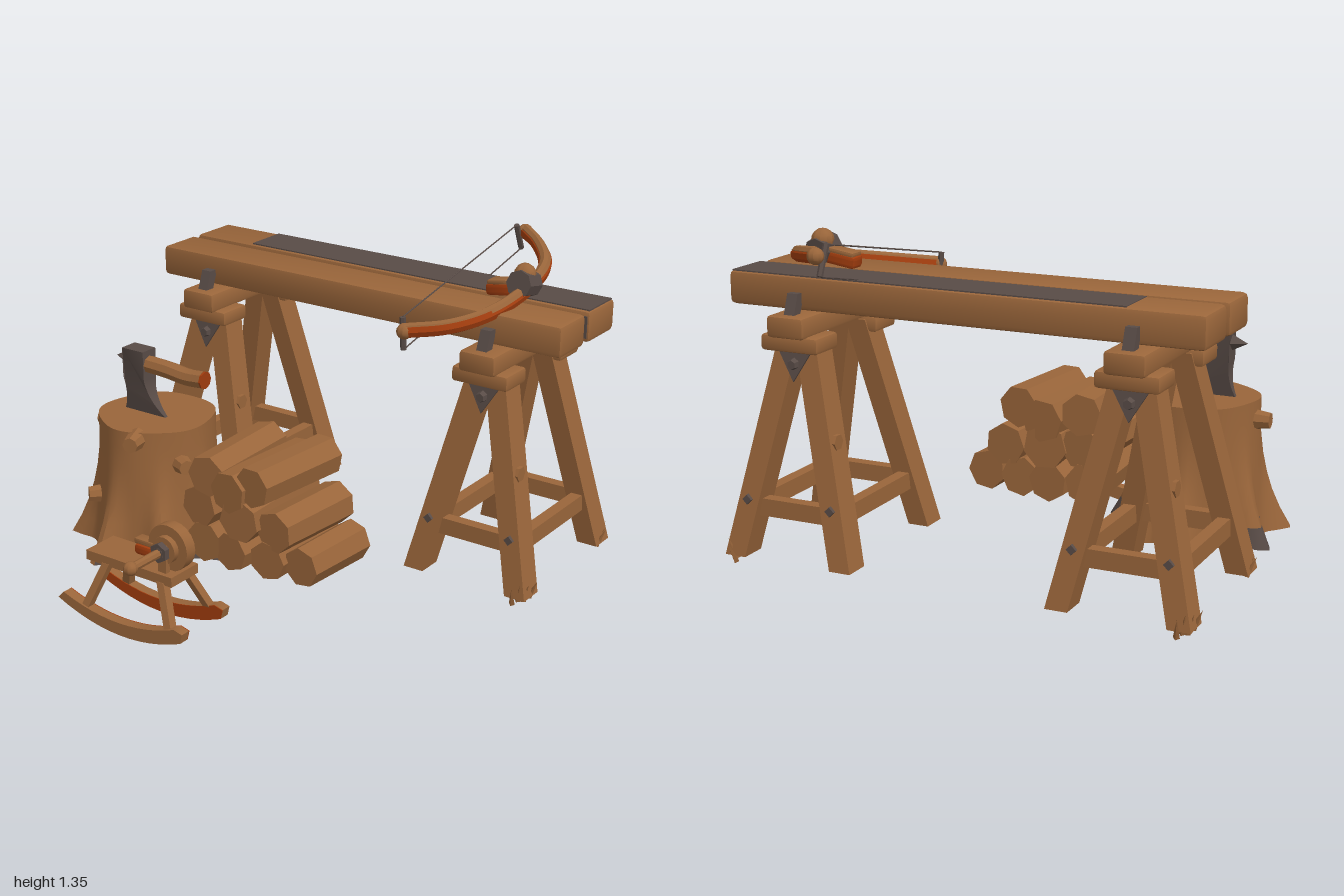
import * as THREE from 'three';
import { toCreasedNormals } from 'three/addons/utils/BufferGeometryUtils.js';
import { RoundedBoxGeometry } from 'three/addons/geometries/RoundedBoxGeometry.js';

const material = (name, color) => Object.assign(new THREE.MeshStandardMaterial({ color }), { name });
const V = (x, y, z) => new THREE.Vector3(x, y, z);

export function createModel() {
  const wood = material('wood', 0x99653a);
  const iron = material('iron', 0x584b46);
  const rust = material('rust', 0xa03c0e);

  const add = (parent, name, geo, mat, pos = [0, 0, 0], rot = [0, 0, 0]) => {
    geo.clearGroups();
    const mesh = new THREE.Mesh(toCreasedNormals(geo, 0.6), mat);
    mesh.name = name;
    mesh.position.set(...pos);
    mesh.rotation.set(...rot);
    parent.add(mesh);
    return mesh;
  };
  const group = (parent, name) => {
    const g = new THREE.Group();
    g.name = name;
    parent.add(g);
    return g;
  };
  const box = (w, h, d) => new THREE.BoxGeometry(w, h, d);
  const soft = (w, h, d, r = 0.015) => new RoundedBoxGeometry(w, h, d, 1, r);
  const rod = (r, h, n = 8, r2 = r) => new THREE.CylinderGeometry(r2, r, h, n);
  const ball = (r) => new THREE.SphereGeometry(r, 10, 8);
  // Leaning post whose ends stay level
  const leaning = (a, b, w, d) => {
    const h = b.y - a.y, geo = box(w, h, d), p = geo.attributes.position;
    for (let i = 0; i < p.count; i++) {
      const t = p.getY(i) / h + 0.5;
      p.setXYZ(i, p.getX(i) + a.x + (b.x - a.x) * t, a.y + h * t, p.getZ(i) + a.z + (b.z - a.z) * t);
    }
    return geo;
  };
  // Straight round bar between two points
  const bar = (parent, name, a, b, r, mat) => {
    const m = add(parent, name, rod(r, a.distanceTo(b), 6), mat);
    m.position.copy(a).lerp(b, 0.5);
    m.quaternion.setFromUnitVectors(V(0, 1, 0), b.clone().sub(a).normalize());
  };

  const root = new THREE.Group();
  root.name = 'woodworkingYard';

  // Two long beams, the rear one with a dark top
  const beams = group(root, 'beams');
  add(beams, 'frontBeam', soft(1.94, 0.13, 0.205, 0.02), wood, [0.02, 1.115, -0.39]);
  add(beams, 'rearBeam', soft(1.94, 0.13, 0.22, 0.02), wood, [0.02, 1.115, -0.63]);
  add(beams, 'darkTop', box(1.63, 0.006, 0.19), iron, [0.165, 1.18, -0.63]);
  add(beams, 'darkInnerSide', box(1.63, 0.09, 0.004), iron, [0.165, 1.115, -0.519]);

  // Trestles, each made of two identical halves
  for (const side of [-1, 1]) {
    const trestle = group(root, side < 0 ? 'rightTrestle' : 'leftTrestle');
    trestle.position.set(side * 0.685, 0, -0.51);
    add(trestle, 'crossBeam', soft(0.16, 0.085, 0.65), wood, [0, 1.0, 0]);
    for (const turn of [0, Math.PI]) {
      const half = group(trestle, 'trestleHalf');
      half.rotation.y = turn;
      add(half, 'collar', soft(0.25, 0.065, 0.16), wood, [0, 0.932, 0.22]);
      for (const s of [-1, 1]) {
        add(half, 'leg', leaning(V(s * 0.235, 0.08, 0.31), V(s * 0.035, 0.95, 0.185), 0.09, 0.11), wood);
        add(half, 'legBolt', rod(0.02, 0.02, 4), iron, [s * 0.185, 0.31, 0.335], [Math.PI / 2, 0, 0]);
      }
      add(half, 'sideKnot', rod(0.032, 0.03, 6), wood, [0.165, 0.56, 0.25], [0, 0, Math.PI / 2]);
      add(half, 'shortRail', box(0.36, 0.07, 0.05), wood, [0, 0.275, 0.282]);
      add(half, 'longRail', box(0.05, 0.07, 0.56), wood, [0.19, 0.275, 0]);
      // Iron gusset with its bolt
      const tri = new THREE.Shape([[-0.085, 0], [0, -0.14], [0.085, 0]].map((q) => new THREE.Vector2(...q)));
      add(half, 'gusset', new THREE.ExtrudeGeometry(tri, { depth: 0.008, bevelEnabled: false }), iron,
        [0, 0.92, 0.246], [-0.143, 0, 0]);
      add(half, 'gussetBolt', rod(0.026, 0.03, 6, 0.018), iron, [0, 0.85, 0.27], [Math.PI / 2, 0, 0]);
      // Wedge that stops the beam
      add(half, 'wedge', leaning(V(0, 1.04, 0.265), V(0, 1.12, 0.235), 0.045, 0.045), iron);
      // Splinters at the outer foot
      const out = turn ? -side : side;
      for (let i = 0; i < 4; i++) {
        add(half, 'splinter', new THREE.ConeGeometry(0.013, 0.09, 4), wood,
          [out * (0.235 + 0.015 * i), 0.1 + 0.008 * (i % 2), 0.385 - 0.03 * i], [0.4 - 0.1 * i, 0, -out * (0.15 + 0.1 * i)]);
      }
    }
  }

  // Chopping stump with flared roots
  const stump = group(root, 'stump');
  stump.position.set(-0.59, 0, 0.21);
  const cols = 70, rows = 7;
  const trunk = new THREE.CylinderGeometry(1, 1, 0.56, cols, rows);
  const pos = trunk.attributes.position;
  const rootAngles = [-157, -94, -55, 2, 50, 97, 154].map((d) => d * Math.PI / 180);
  for (let i = 0; i < pos.count; i++) {
    const x = pos.getX(i), z = pos.getZ(i), a = Math.atan2(z, x);
    const drop = Math.max(0, 0.5 - pos.getY(i) / 0.56);
    let lobe = 0;
    for (const ra of rootAngles) {
      const d = Math.atan2(Math.sin(a - ra), Math.cos(a - ra));
      lobe += Math.exp(-(d * d) / 0.03);
    }
    const r = 0.24 + 0.03 * drop ** 2 + 0.12 * lobe * drop ** 2.6 + 0.006 * Math.sin(5 * a) * (1 - drop);
    pos.setXYZ(i, x * r, 0.36 + pos.getY(i), z * r);
  }
  // Faces split into bare wood and the dark underside with patches between the roots
  const woodFaces = [], darkFaces = [];
  const faces = Array.from(trunk.index.array), sideEnd = cols * rows * 6;
  faces.forEach((vertex, i) => {
    const th = (Math.floor(i / (rows * 6)) / cols) * Math.PI * 2;
    const lowest = Math.floor(i / 6) % rows === rows - 1;
    const patch = lowest && (Math.sin(th) > 0.45 || Math.sin(th * 3 + 1) > 0.55);
    const dark = i < sideEnd ? patch : i >= sideEnd + cols * 3;
    (dark ? darkFaces : woodFaces).push(vertex);
  });
  add(stump, 'trunk', trunk.clone().setIndex(woodFaces), wood);
  add(stump, 'darkBase', trunk.clone().setIndex(darkFaces), iron);
  for (const [a, y] of [[1.25, 0.605], [0.47, 0.5], [3.1, 0.56], [2.3, 0.3]]) {
    add(stump, 'knot', rod(0.045, 0.09, 8, 0.032).rotateX(Math.PI / 2), wood,
      [0.25 * Math.cos(a), y, 0.25 * Math.sin(a)], [0, Math.PI / 2 - a, 0]);
  }

  // Axe stuck in the stump
  const axe = group(root, 'axe');
  const blade = new THREE.Shape();
  blade.moveTo(-0.74, 0.63);
  blade.quadraticCurveTo(-0.7, 0.7, -0.715, 0.79);
  blade.lineTo(-0.715, 0.915);
  blade.lineTo(-0.605, 0.915);
  blade.lineTo(-0.605, 0.79);
  blade.quadraticCurveTo(-0.6, 0.7, -0.51, 0.63);
  const head = new THREE.ExtrudeGeometry(blade, { depth: 0.08, bevelEnabled: false }).translate(0, 0, -0.04);
  const hp = head.attributes.position;
  for (let i = 0; i < hp.count; i++) hp.setZ(i, hp.getZ(i) * Math.min(1, 0.15 + (hp.getY(i) - 0.63) * 5));
  add(axe, 'axeHead', head, iron, [0, 0, 0.23]);
  add(axe, 'axePoint', new THREE.ConeGeometry(0.035, 0.07, 4), iron, [-0.745, 0.86, 0.23], [0, 0, Math.PI / 2]);
  const grip = new THREE.TubeGeometry(new THREE.CatmullRomCurve3(
    [V(-0.62, 0.855, 0.23), V(-0.5, 0.85, 0.23), V(-0.4, 0.84, 0.23), V(-0.32, 0.845, 0.23)]), 12, 0.037, 8);
  add(axe, 'axeHandle', grip, wood);
  add(axe, 'handleEnd', rod(0.037, 0.008), rust, [-0.317, 0.845, 0.23], [0, 0, Math.PI / 2]);

  // Stack of faceted logs: x, y, radius, length, yaw
  const pile = group(root, 'logPile');
  const logs = [
    [-0.17, 0.26, 0.09, 0.44, 0.04], [-0.02, 0.25, 0.085, 0.44, -0.05], [0.13, 0.25, 0.085, 0.4, 0.03], [0.285, 0.25, 0.085, 0.34, -0.05],
    [-0.17, 0.41, 0.09, 0.44, -0.06], [0.01, 0.4, 0.095, 0.46, 0.05], [0.18, 0.38, 0.09, 0.4, -0.06],
    [-0.15, 0.55, 0.09, 0.45, 0.05], [-0.01, 0.51, 0.09, 0.47, -0.08], [0.1, 0.555, 0.088, 0.45, -0.08],
  ];
  logs.forEach(([x, y, r, len, yaw], i) => {
    add(pile, 'log', rod(r, len, 7, r * 0.95).rotateX(Math.PI / 2).rotateZ(i * 0.8), wood, [x, y, 0.23], [0, yaw, 0]);
  });

  // Grinding bench on rockers
  const bench = group(root, 'grindingBench');
  add(bench, 'seat', box(0.43, 0.04, 0.16), wood, [-0.245, 0.262, 0.73]);
  const arc = new THREE.Shape();
  arc.moveTo(-0.56, 0.075);
  arc.quadraticCurveTo(-0.245, -0.065, 0.06, 0.06);
  arc.lineTo(0.07, 0.1);
  arc.lineTo(0.03, 0.11);
  arc.quadraticCurveTo(-0.245, 0, -0.53, 0.105);
  const slab = (depth) => new THREE.ExtrudeGeometry(arc, { depth, bevelEnabled: false, curveSegments: 12 });
  for (const s of [-1, 1]) {
    const z = 0.73 + s * 0.125;
    add(bench, 'rocker', slab(0.042), wood, [0, 0, z - 0.021]);
    add(bench, 'rockerInnerFace', slab(0.004), rust, [0, 0, z - s * 0.023 - 0.002]);
    add(bench, 'rearLeg', leaning(V(-0.43, 0.06, z), V(-0.36, 0.25, 0.73 + s * 0.065), 0.035, 0.035), wood);
    add(bench, 'frontLeg', leaning(V(0.0, 0.07, z), V(-0.085, 0.25, 0.73 + s * 0.065), 0.035, 0.035), wood);
    add(bench, 'axleStand', box(0.04, 0.12, 0.022), wood, [-0.09, 0.335, 0.73 + s * 0.05]);
  }
  const onAxle = (name, r, len, z, mat, n = 16) =>
    add(bench, name, rod(r, len, n), mat, [-0.09, 0.37, z], [Math.PI / 2, 0, 0]);
  onAxle('grindingWheel', 0.095, 0.05, 0.73, wood, 20);
  onAxle('wheelHub', 0.055, 0.1, 0.73, wood);
  onAxle('axle', 0.025, 0.17, 0.73, iron, 6);
  onAxle('axleNut', 0.04, 0.025, 0.8, iron, 6);
  onAxle('crankHandle', 0.018, 0.19, 0.88, wood, 8);
  add(bench, 'crankKnob', ball(0.028), wood, [-0.09, 0.37, 0.97]);
  add(bench, 'trough', soft(0.11, 0.045, 0.07), rust, [-0.195, 0.33, 0.735]);
  add(bench, 'troughArm', soft(0.17, 0.025, 0.05, 0.008), wood, [-0.17, 0.36, 0.735]);

  // Bow resting across the beams
  const bow = group(root, 'bow');
  const limbPoints = [[0.45, -0.04], [0.59, -0.13], [0.68, -0.27], [0.715, -0.51], [0.68, -0.72], [0.56, -0.88], [0.45, -0.97]]
    .map(([x, z]) => V(x, 1.22 - 0.2 * (z + 0.5), z));
  const limb = (r, lift) => new THREE.TubeGeometry(
    new THREE.CatmullRomCurve3(limbPoints.map((p) => p.clone().add(V(0, lift, 0)))), 40, r, 8);
  add(bow, 'limb', limb(0.028, 0), rust);
  add(bow, 'limbTop', limb(0.023, 0.01), wood);
  add(bow, 'gripBand', rod(0.055, 0.1, 8), iron, [0.71, 1.25, -0.5], [Math.PI / 2 - 0.2, 0, 0]);
  add(bow, 'gripKnob', ball(0.045), wood, [0.705, 1.285, -0.51]);
  add(bow, 'stock', soft(0.14, 0.05, 0.075), rust, [0.62, 1.215, -0.505], [0, 0, 0.15]);
  add(bow, 'stockTop', soft(0.13, 0.02, 0.07, 0.008), wood, [0.62, 1.245, -0.505], [0, 0, 0.15]);
  const low = V(0.435, 1.045, -0.06), lowTop = V(0.435, 1.18, -0.05);
  const high = V(0.435, 1.24, -0.97), highTop = V(0.435, 1.35, -0.92);
  add(bow, 'tipKnob', ball(0.032), wood, limbPoints[0].toArray());
  add(bow, 'tipKnob', ball(0.032), wood, limbPoints[6].toArray());
  bar(bow, 'tipPeg', low, lowTop, 0.012, iron);
  bar(bow, 'tipPeg', high, highTop, 0.012, iron);
  bar(bow, 'string', low, high, 0.003, iron);
  bar(bow, 'string', lowTop, highTop, 0.003, iron);

  return root;
}
